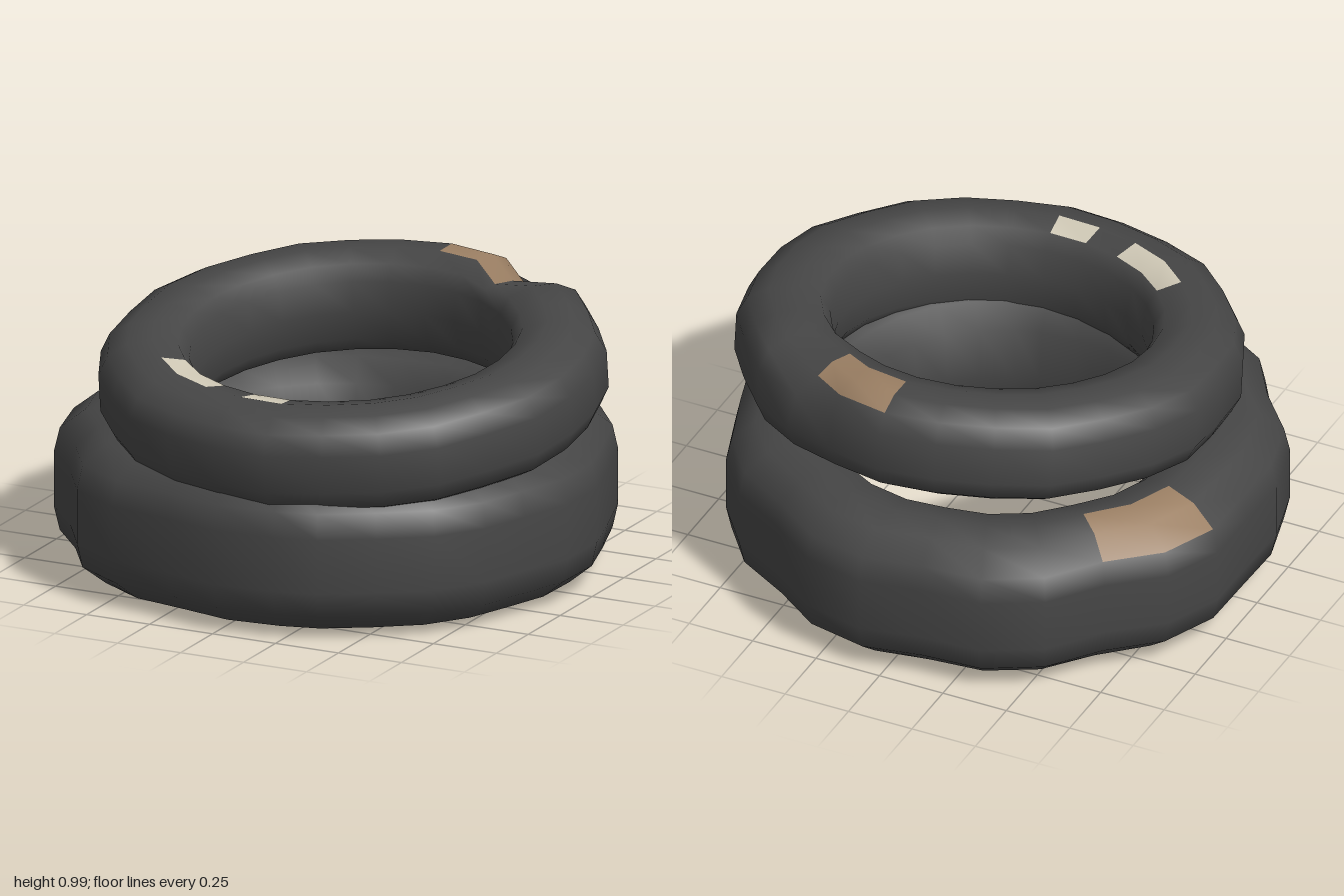
import * as THREE from 'three';

const DEG = Math.PI / 180;

// Closed ring swept from a half section (outer to inner), mirrored top to bottom.
// outline: [degrees, outer radius] per segment; dent(ring, seg) -> [dr, dy];
// paint(ring, seg) -> material index.
function tyreGeometry(half, innerRadius, outline, dent, paint) {
  const profile = [...half, [innerRadius, 0], ...half.map(([r, y]) => [r, -y]).reverse()];
  const n = profile.length, m = outline.length, outer = half[0][0];
  const pos = [], faces = [[], [], []];
  for (let s = 0; s < m; s++) {
    const [deg, radius] = outline[s];
    for (let i = 0; i < n; i++) {
      const [r, y] = profile[i];
      const [dr, dy] = dent(i, s);
      // wobble fades out towards the hole
      const rr = r + (radius - outer) * (r - innerRadius) / (outer - innerRadius) + dr;
      pos.push(rr * Math.cos(deg * DEG), y + dy, rr * Math.sin(deg * DEG));
      const i2 = (i + 1) % n, s2 = (s + 1) % m;
      const a = s * n + i, b = s * n + i2, c = s2 * n + i2, d = s2 * n + i;
      faces[paint(i, s)].push(a, b, c, a, c, d);
    }
  }
  const geo = new THREE.BufferGeometry();
  geo.setAttribute('position', new THREE.Float32BufferAttribute(pos, 3));
  geo.setIndex(faces.flat());
  let start = 0;
  faces.forEach((f, k) => {
    if (f.length) geo.addGroup(start, f.length, k);
    start += f.length;
  });
  geo.computeVertexNormals();
  return geo;
}

export function createModel() {
  const group = new THREE.Group();
  const material = (name, color) => {
    const mat = new THREE.MeshStandardMaterial({ color });
    mat.name = name;
    return mat;
  };
  const materials = [
    material('darkRubber', 0x464646),
    material('brownPatch', 0x9c8064),
    material('creamMark', 0xd3ccb9),
  ];

  // Lower tyre: wide, worn to an uneven outline
  const lowerOutline = [
    [-4, 0.987], [8.7, 0.991], [21, 0.975], [32, 1.0], [43.8, 1.01], [55.7, 0.993], [67.8, 1.005],
    [77, 0.995], [90, 0.99], [102.6, 0.963], [116.6, 1.006], [129.8, 1.015], [143, 0.972],
    [156, 1.016], [169.7, 1.006], [182.8, 0.985], [195.9, 1.02], [208.8, 1.016], [222, 0.96],
    [235.5, 1.007], [248.5, 1.01], [261.7, 0.965], [274.6, 1.003], [288, 0.999], [301, 0.955],
    [315, 0.99], [328.2, 0.988], [343, 0.962],
  ];
  const lower = new THREE.Mesh(tyreGeometry(
    [[0.985, 0.1], [0.965, 0.19], [0.88, 0.26], [0.77, 0.28], [0.67, 0.26], [0.6, 0.18]], 0.57,
    lowerOutline,
    () => [0, 0],
    (i, s) => ((i === 1 || i === 2) && (s === 16 || s === 17) ? 1 : 0),
  ), materials);
  lower.name = 'lowerTyre';
  lower.position.y = 0.28;
  group.add(lower);

  // Upper tyre: narrower, tilted forward, with a dent in the back shoulder
  const upperOutline = Array.from({ length: 27 }, (_, k) =>
    [3.5 + k * 360 / 27, 0.898 + 0.01 * Math.sin(k * 2.3)]);
  const dentIn = [-0.03, -0.09, -0.08, -0.065, -0.02];
  const upper = new THREE.Mesh(tyreGeometry(
    [[0.895, 0.07], [0.86, 0.14], [0.79, 0.18], [0.7, 0.19], [0.61, 0.165], [0.575, 0.11]], 0.56,
    upperOutline,
    (i, s) => (s === 22 && i < 5 ? [dentIn[i], i > 0 && i < 4 ? -0.03 : -0.01] : [0, 0]),
    (i, s) => {
      if ((i === 1 || i === 2) && (s === 20 || s === 21)) return 1;
      return i === 3 && [6, 8, 9].includes(s) ? 2 : 0;
    },
  ), materials);
  upper.name = 'upperTyre';
  upper.position.set(0.09, 0.715, 0.08);
  upper.rotation.x = 0.118;
  group.add(upper);

  return group;
}
